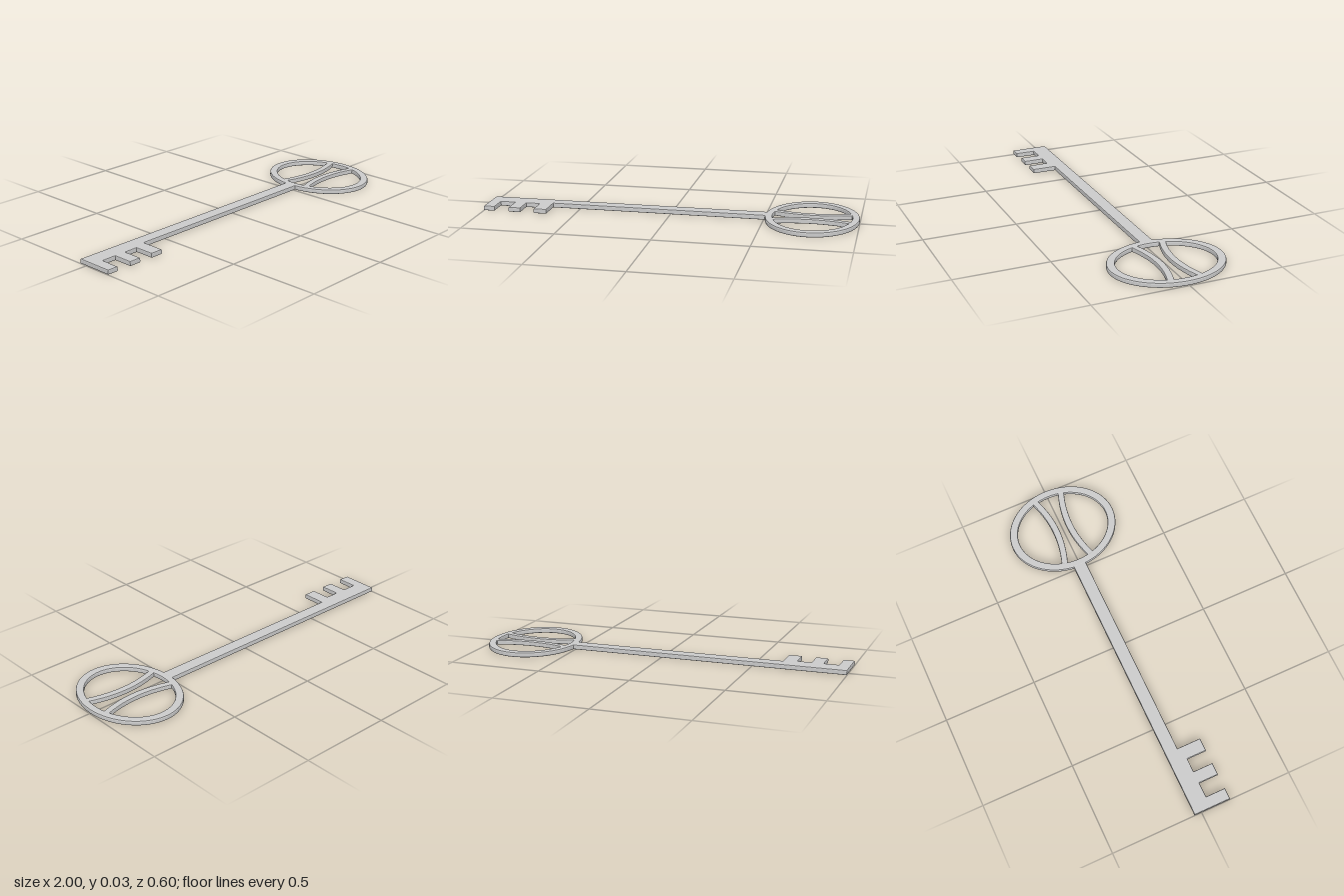
import * as THREE from 'three';

const H = 0.027; // thickness of the key

// Extrude a plan outline (shape y becomes z) into a flat plate with softened edges
function plate(name, shape, height, bevel) {
  const geo = new THREE.ExtrudeGeometry(shape, {
    depth: height - 2 * bevel,
    bevelEnabled: true,
    bevelThickness: bevel,
    bevelSize: bevel,
    bevelOffset: -bevel,
    bevelSegments: 2,
    curveSegments: 40,
  });
  geo.rotateX(Math.PI / 2);
  geo.translate(0, H / 2 + height / 2 - bevel, 0);
  const mesh = new THREE.Mesh(geo, new THREE.MeshStandardMaterial({ color: 0xcccccc }));
  mesh.name = name;
  return mesh;
}

export function createModel() {
  const key = new THREE.Group();
  key.name = 'key';

  // Oval bow ring
  const cx = 0.753;
  const ring = new THREE.Shape().absellipse(cx, 0, 0.247, 0.3, 0, Math.PI * 2);
  ring.holes.push(new THREE.Path().absellipse(cx, 0, 0.208, 0.256, 0, Math.PI * 2));
  key.add(plate('bowRing', ring, H, 0.007));

  // Two braces bowing towards each other across the ring
  const half = 0.217, w = 0.018;
  for (const side of [-1, 1]) {
    const end = 0.083, mid = 0.041;
    const z = (v, d) => side * (v + d);
    const pull = 2 * mid - end;
    const brace = new THREE.Shape();
    brace.moveTo(cx - half, z(end, -w));
    brace.quadraticCurveTo(cx, z(pull, -w), cx + half, z(end, -w));
    brace.lineTo(cx + half, z(end, w));
    brace.quadraticCurveTo(cx, z(pull, w), cx - half, z(end, w));
    brace.closePath();
    key.add(plate(side < 0 ? 'backBrace' : 'frontBrace', brace, H - 0.002, 0.005));
  }

  // Shaft and toothed bit in one outline
  const outline = [[-1, -0.04], [0.525, -0.04], [0.525, 0.03], [-0.65, 0.03]];
  const teeth = [[-0.65, -0.72], [-0.795, -0.86], [-0.94, -1]];
  teeth.forEach(([right, left], i) => {
    if (i > 0) outline.push([right, 0.053]);
    outline.push([right, 0.16], [left, 0.16]);
    if (i < 2) outline.push([left, 0.053]);
  });
  const blade = new THREE.Shape(outline.map(([x, z]) => new THREE.Vector2(x, z)));
  key.add(plate('shaftAndBit', blade, H - 0.001, 0.005));

  return key;
}
